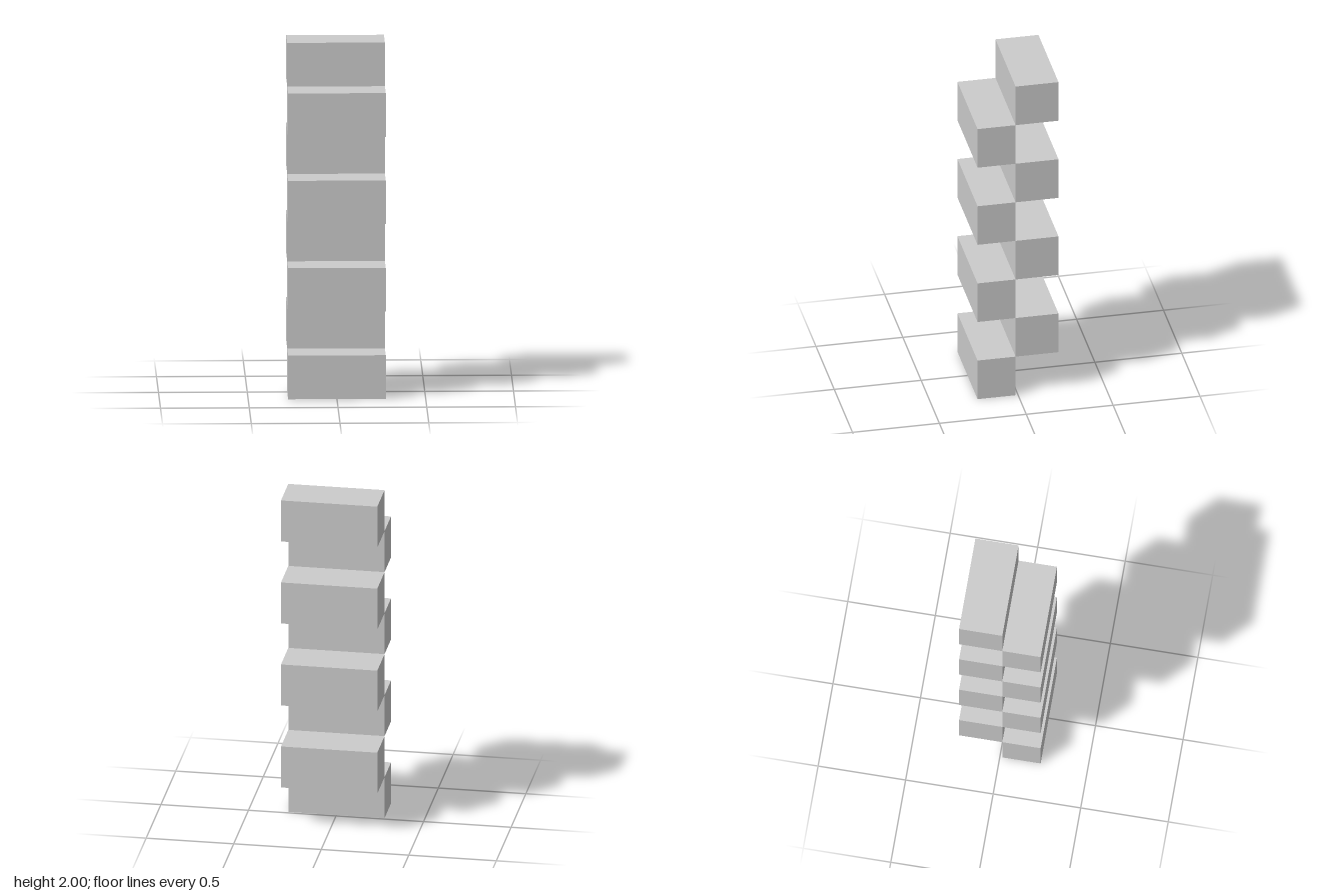
import * as THREE from 'three';

const WIDTH = 0.55;
const HEIGHT = 0.25;
const FRONT = 0.233, SEAM = 0.014, BACK = -0.233;

export function createModel() {
  const group = new THREE.Group();
  group.name = 'staggeredBlockStack';
  const material = new THREE.MeshStandardMaterial({ color: 0xcccccc, flatShading: true });

  // One block spanning a depth range on a given level
  const addBlock = (name, level, zMin, zMax) => {
    const block = new THREE.Mesh(new THREE.BoxGeometry(WIDTH, HEIGHT, zMax - zMin), material);
    block.name = name;
    block.position.set(0, (level + 0.5) * HEIGHT, (zMin + zMax) / 2);
    group.add(block);
  };

  // Levels alternate between front and back, meeting along the seam
  for (let level = 0; level < 8; level++) {
    if (level % 2 === 0) addBlock(`frontBlock${level / 2 + 1}`, level, SEAM, FRONT);
    else addBlock(`backBlock${(level + 1) / 2}`, level, BACK, SEAM);
  }
  return group;
}
